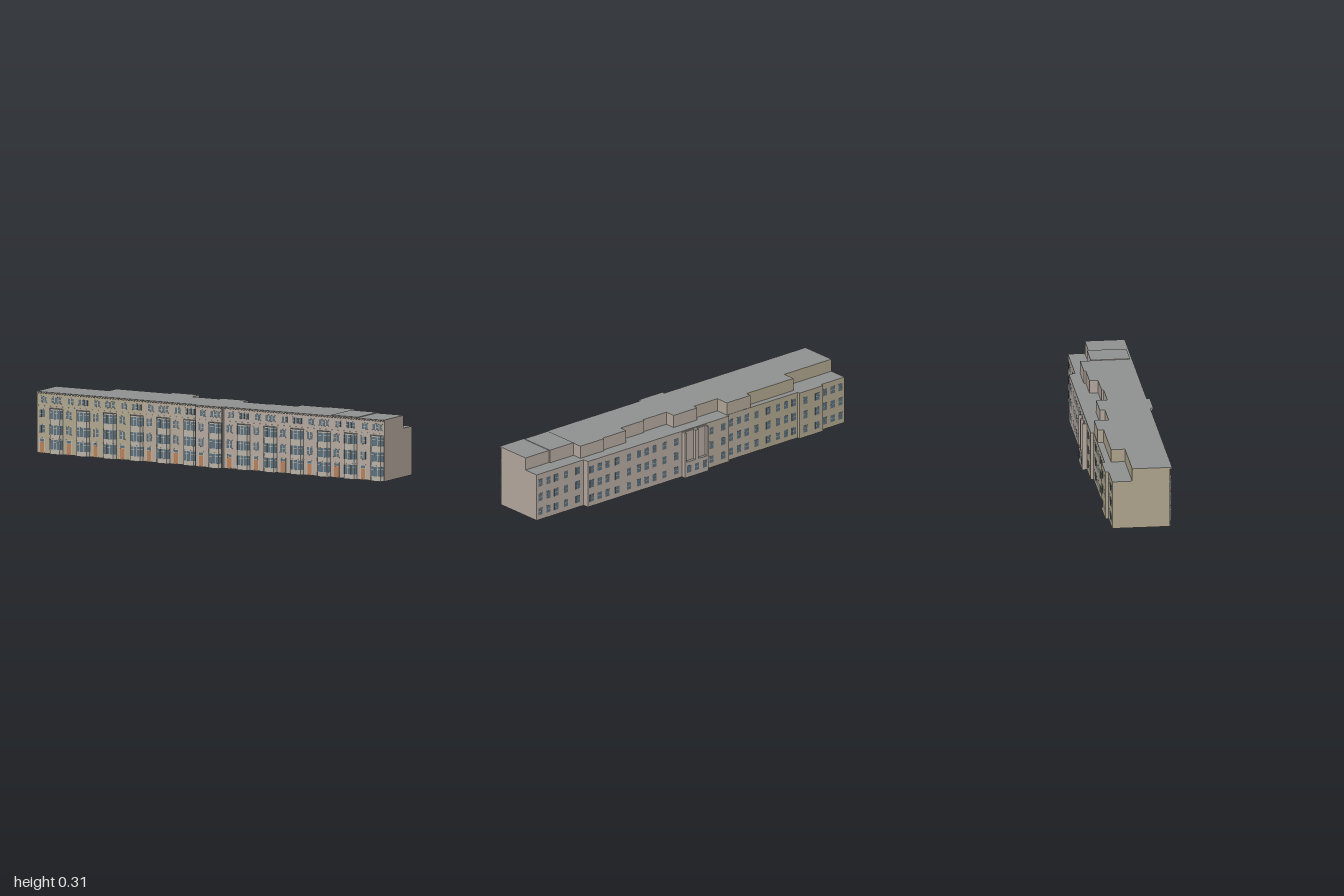
import * as THREE from 'three';

const mat = (color, flat = false) => new THREE.MeshStandardMaterial({ color, flatShading: flat });
const M = {
  roof: mat(0x8f9291), glass: mat(0x5d707c), frame: mat(0xc9c4ba), door: mat(0xb98058),
  trim: mat(0xb9b2a8), dark: mat(0x4a4846),
  olive: mat(0xb0a68e), sand: mat(0xb3a898), stone: mat(0xb5a99f),
};

const N = 13, W = 2 / N, FRONT = 0.15;
const LOW = 0.245, TOP = 0.31, BAY_TOP = 0.23;

// One entry per house from -x to +x: lower back wall z, attic back wall z, wall colour
const HOUSES = [
  [-0.140, -0.040, 'olive'], [-0.157, -0.040, 'olive'], [-0.142, -0.110, 'olive'],
  [-0.142, -0.110, 'olive'], [-0.142, -0.140, 'sand'], [-0.157, -0.067, 'sand'],
  [-0.157, -0.093, 'stone'], [-0.157, -0.037, 'stone'], [-0.157, -0.047, 'stone'],
  [-0.157, -0.090, 'stone'], [-0.157, -0.100, 'stone'], [-0.125, -0.047, 'stone'],
  [-0.125, -0.040, 'stone'],
];
const CENTRE = 6;
// Sill and head heights of the three main storeys
const BAY_ROWS = [[0.025, 0.073], [0.1, 0.146], [0.178, 0.222]];
const BACK_ROWS = [[0.025, 0.062], [0.1, 0.14], [0.178, 0.216]];

// Box given by its limits; an optional second material covers the top
function block(parent, name, [x0, x1], [y0, y1], [z0, z1], material, top) {
  const g = new THREE.BoxGeometry(x1 - x0, y1 - y0, z1 - z0);
  const m = top ? [material, material, top, material, material, material] : material;
  const mesh = new THREE.Mesh(g, m);
  mesh.position.set((x0 + x1) / 2, (y0 + y1) / 2, (z0 + z1) / 2);
  mesh.name = name;
  parent.add(mesh);
  return mesh;
}

// Canted plan extruded upwards from y0 to y1, standing against wall plane z
function canted(parent, name, x, z, y0, y1, grow, material) {
  const a = 0.038 + grow, b = 0.028 + grow, d = 0.0155 + grow;
  const s = new THREE.Shape();
  s.moveTo(-a, 0);
  s.lineTo(a, 0);
  s.lineTo(b, -d);
  s.lineTo(-b, -d);
  const g = new THREE.ExtrudeGeometry(s, { depth: y1 - y0, bevelEnabled: false });
  g.rotateX(-Math.PI / 2);
  const mesh = new THREE.Mesh(g, material);
  mesh.position.set(x, y0, z);
  mesh.name = name;
  parent.add(mesh);
}

// Flat window with sill, lintel and central bar; dir is +1 for front walls, -1 for back
function sashWindow(parent, x, z, w, y0, y1, dir) {
  const g = new THREE.Group();
  g.name = 'window';
  const span = d => (dir > 0 ? [z - 0.001, z + d] : [z - d, z + 0.001]);
  const ym = (y0 + y1) / 2;
  block(g, 'glass', [x - w / 2, x + w / 2], [y0, y1], span(0.0008), M.glass);
  block(g, 'meetingRail', [x - w / 2, x + w / 2], [ym - 0.0007, ym + 0.0007], span(0.0012), M.frame);
  if (dir > 0) {
    block(g, 'sill', [x - w / 2 - 0.002, x + w / 2 + 0.002], [y0 - 0.003, y0], span(0.003), M.trim);
    block(g, 'lintel', [x - w / 2 - 0.002, x + w / 2 + 0.002], [y1, y1 + 0.003], span(0.002), M.trim);
  }
  parent.add(g);
}

// Three-storey bay: wall core, glazed bands, corner and centre mullions, capping
function bayWindow(parent, x, z) {
  const g = new THREE.Group();
  g.name = 'bayWindow';
  canted(g, 'bayWall', x, z, 0, BAY_TOP - 0.003, 0, M.trim);
  for (const [y0, y1] of BAY_ROWS) {
    canted(g, 'bayGlass', x, z, y0, y1, 0.0003, M.glass);
    canted(g, 'baySill', x, z, y0 - 0.003, y0, 0.001, M.trim);
    canted(g, 'bayTransom', x, z, y1 - 0.014, y1 - 0.0125, 0.0006, M.frame);
    for (const mx of [-0.028, -0.0095, 0.0095, 0.028]) {
      block(g, 'mullion', [x + mx - 0.001, x + mx + 0.001], [y0, y1], [z + 0.0145, z + 0.0163], M.frame);
    }
  }
  canted(g, 'bayLedge', x, z, 0.076, 0.079, 0.001, M.trim);
  canted(g, 'bayRoof', x, z, BAY_TOP - 0.003, BAY_TOP, 0.001, M.roof);
  parent.add(g);
}

function entrance(parent, x, z) {
  const g = new THREE.Group();
  g.name = 'entrance';
  block(g, 'doorSurround', [x - 0.017, x + 0.017], [0, 0.077], [z - 0.001, z + 0.001], M.trim);
  block(g, 'door', [x - 0.012, x + 0.012], [0.003, 0.057], [z, z + 0.002], M.door);
  block(g, 'fanlight', [x - 0.012, x + 0.012], [0.06, 0.072], [z, z + 0.002], M.glass);
  block(g, 'doorstep', [x - 0.016, x + 0.016], [0, 0.003], [z, z + 0.005], M.trim);
  parent.add(g);
}

// Eaves cornice with a row of small brackets
function cornice(parent, x0, x1, z) {
  block(parent, 'cornice', [x0, x1], [0.305, TOP], [z - 0.001, z + 0.01], M.trim, M.roof);
  for (let i = 0; i < 10; i++) {
    const x = x0 + (i + 0.5) * (x1 - x0) / 10;
    block(parent, 'corniceBracket', [x - 0.0025, x + 0.0025], [0.3, 0.305], [z - 0.001, z + 0.007], M.trim);
  }
}

function frontFacade(parent, x0, z) {
  const x1 = x0 + W, doorX = x0 + 0.2 * W, bayX = x0 + 0.73 * W;
  entrance(parent, doorX, z);
  for (const [y0, y1] of BAY_ROWS.slice(1)) {
    for (const dx of [-0.009, 0.009]) sashWindow(parent, doorX + dx, z, 0.013, y0 + 0.004, y1 - 0.004, 1);
  }
  for (const dx of [-0.009, 0.009]) sashWindow(parent, doorX + 0.01 + dx, z, 0.013, 0.256, 0.285, 1);
  for (const dx of [-0.02, 0, 0.02]) sashWindow(parent, bayX + dx, z, 0.014, 0.256, 0.285, 1);
  bayWindow(parent, bayX, z);
  block(parent, 'stringCourse', [x0, x1], [0.236, 0.239], [z - 0.001, z + 0.002], M.trim);
  cornice(parent, x0, x1, z);
}

function backFacade(parent, x0, z, columns) {
  for (let c = 0; c < columns; c++) {
    const x = x0 + (c + 0.5) * W / columns;
    for (const [y0, y1] of BACK_ROWS) sashWindow(parent, x, z, 0.027, y0, y1, -1);
  }
}

// Rear projection of the middle house: windowed ground floor, two tall recesses above
function rearProjection(parent, x0, wall) {
  const g = new THREE.Group();
  g.name = 'rearProjection';
  const x1 = x0 + W, back = -0.182, wallZ = -0.156, t = 0.01, mid = (x0 + x1) / 2;
  block(g, 'groundFloor', [x0, x1], [0, 0.083], [back, wallZ], wall, M.roof);
  for (const [a, b] of [[x0, x0 + t], [mid - t, mid + t], [x1 - t, x1]]) {
    block(g, 'pier', [a, b], [0.083, 0.24], [back, wallZ], wall, M.roof);
  }
  block(g, 'recessBack', [x0, x1], [0.083, 0.24], [-0.166, wallZ], wall, M.roof);
  for (let c = 0; c < 3; c++) sashWindow(g, x0 + (c + 0.5) * W / 3, back, 0.027, 0.025, 0.062, -1);
  parent.add(g);
}

export function createModel() {
  const model = new THREE.Group();
  model.name = 'terraceRow';

  HOUSES.forEach(([low, high, colour], i) => {
    const house = new THREE.Group();
    house.name = 'house' + (i + 1);
    const x0 = -1 + i * W, x1 = x0 + W, wall = M[colour];
    const front = i === CENTRE ? 0.166 : FRONT;

    block(house, 'mainStoreys', [x0, x1], [0, LOW], [low, front], wall, M.roof);
    block(house, 'attic', [x0, x1], [LOW, i === 11 ? 0.313 : TOP], [high, front], wall, M.roof);
    frontFacade(house, x0, front);

    if (i === CENTRE) {
      rearProjection(house, x0, wall);
      for (const x of [x0 + 0.002, x1 - 0.002]) {
        block(house, 'downpipe', [x - 0.001, x + 0.001], [0, 0.3], [front, front + 0.002], M.dark);
      }
    } else {
      backFacade(house, x0, low, i % 2 ? 2 : 3);
    }
    model.add(house);
  });
  return model;
}
